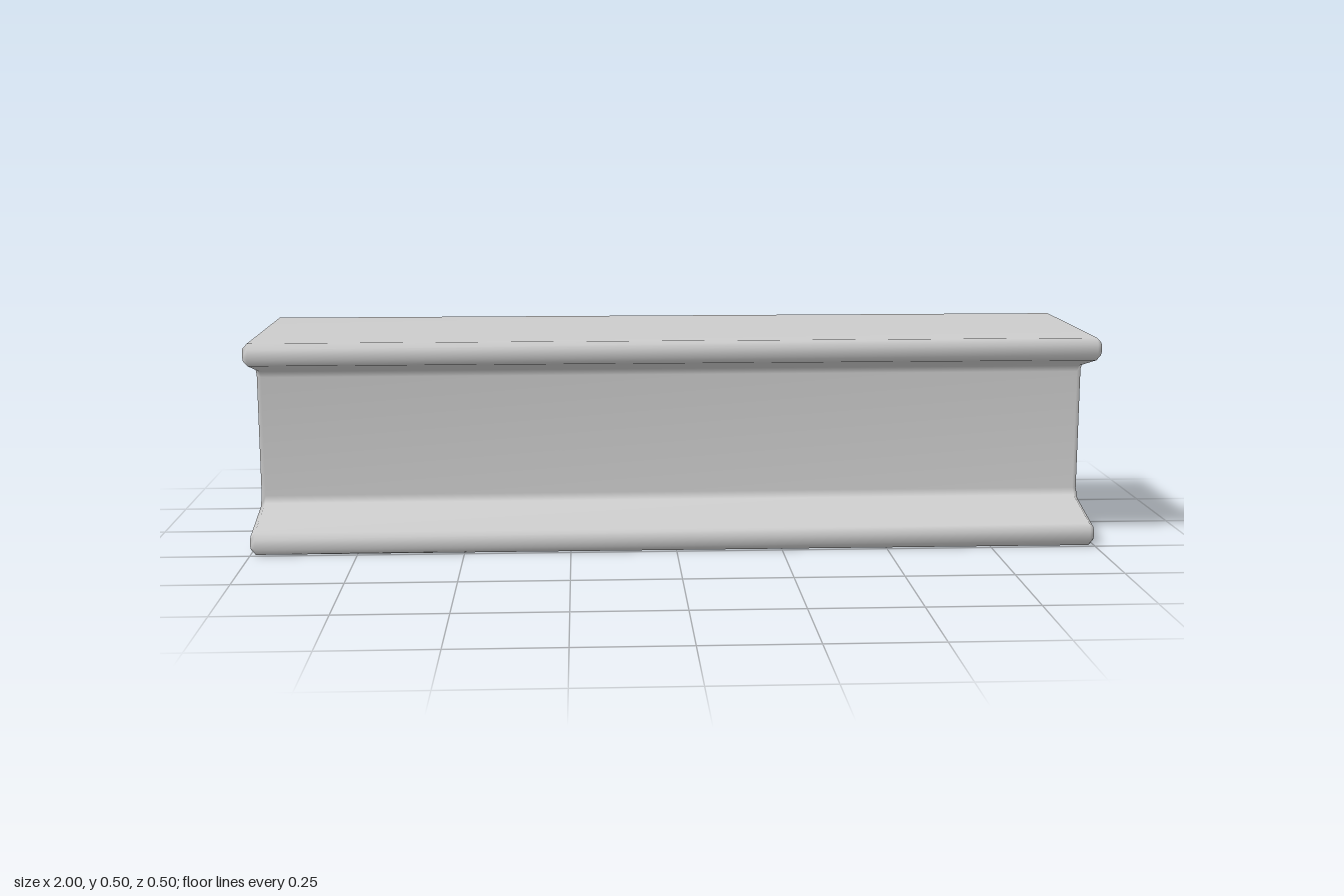
import * as THREE from 'three';
import { mergeVertices } from 'three/addons/utils/BufferGeometryUtils.js';

const LENGTH = 2, HEIGHT = 0.5, BEVEL = 0.012;

// Upper quarter of the section, from the web out to the flange top: [across, height]
const QUARTER = [
  [0.071, 0.395], [0.085, 0.411],                 // fillet between web and flange
  [0.238, 0.447], [0.25, 0.462],                  // sloped flange underside, lower chamfer
  [0.25, 0.486], [0.237, 0.5],                    // flange edge, upper chamfer
];

// Mirror the quarter into the full I-shaped section
function beamSection() {
  const lower = QUARTER.map(([x, y]) => [x, HEIGHT - y]).reverse();
  const half = [...lower, ...QUARTER];
  const otherHalf = half.map(([x, y]) => [-x, y]).reverse();
  return new THREE.Shape([...half, ...otherHalf].map(([x, y]) => new THREE.Vector2(x, y)));
}

export function createModel() {
  const group = new THREE.Group();
  group.name = 'steelBeam';

  // Section extruded along x, with bevelled ends
  let geometry = new THREE.ExtrudeGeometry(beamSection(), {
    depth: LENGTH - 2 * BEVEL,
    bevelEnabled: true,
    bevelSegments: 1,
    bevelSize: BEVEL,
    bevelThickness: BEVEL,
    bevelOffset: -BEVEL,
  });
  geometry.translate(0, 0, BEVEL - LENGTH / 2);
  geometry.rotateY(Math.PI / 2);

  // Shared vertices: large faces stay flat while the narrow bevels shade round
  geometry.deleteAttribute('uv');
  geometry.deleteAttribute('normal');
  geometry = mergeVertices(geometry);
  geometry.clearGroups();
  geometry.computeVertexNormals();

  const beam = new THREE.Mesh(geometry, new THREE.MeshStandardMaterial({ color: 0xcccccc }));
  beam.name = 'beam';
  group.add(beam);
  return group;
}
